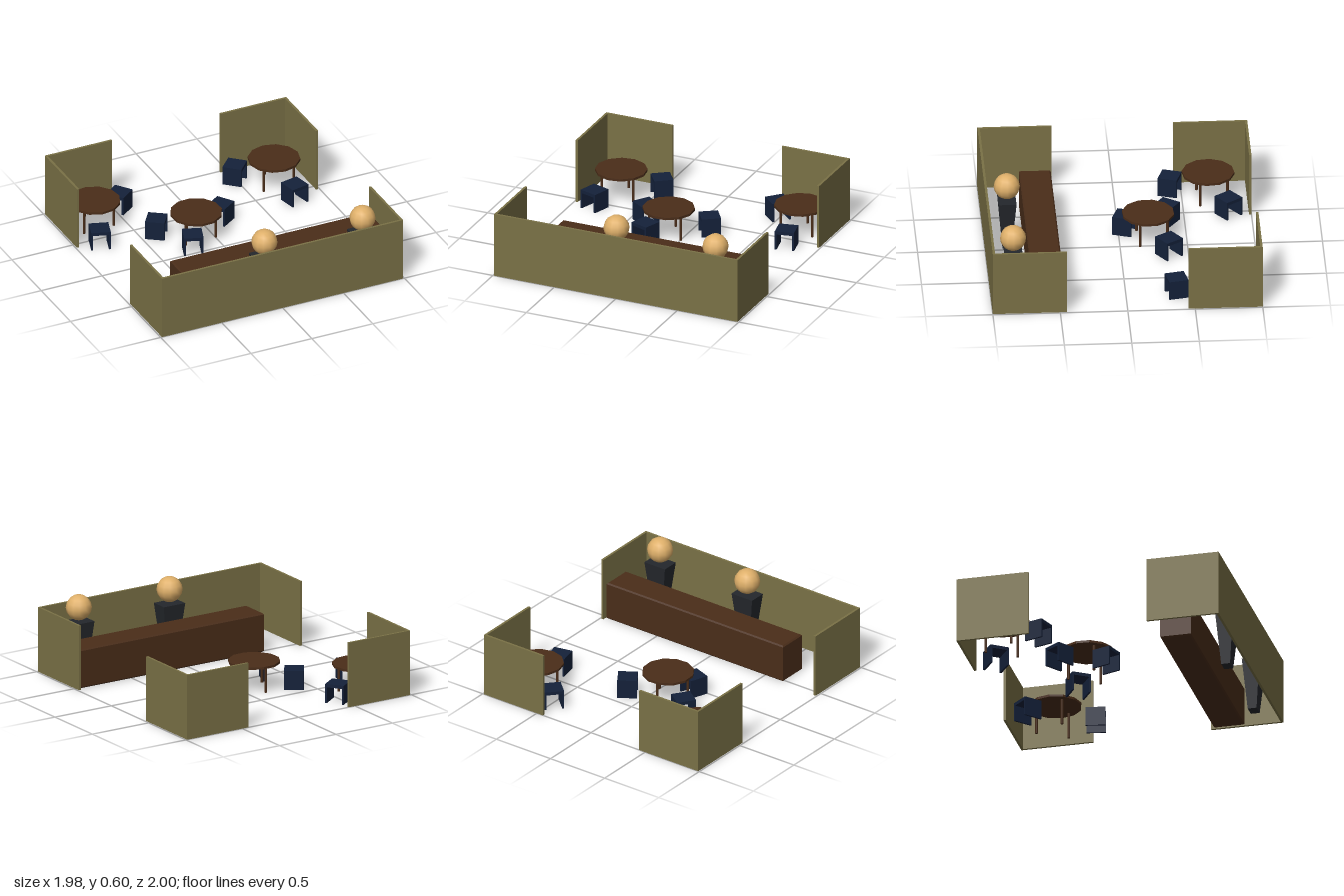
import * as THREE from 'three';

const mat = (color) => new THREE.MeshStandardMaterial({ color, flatShading: true });
const olive = mat(0x7a7146);
const wood = mat(0x4a2d19);
const navy = mat(0x14213a);
const charcoal = mat(0x24272c);
const skin = new THREE.MeshStandardMaterial({ color: 0xdfb06a });

function add(parent, name, geometry, material, x = 0, y = 0, z = 0) {
  const mesh = new THREE.Mesh(geometry, material);
  mesh.name = name;
  mesh.position.set(x, y, z);
  parent.add(mesh);
  return mesh;
}

// Box given by its x, y and z ranges
function span(parent, name, material, x0, x1, y0, y1, z0, z1) {
  const geometry = new THREE.BoxGeometry(x1 - x0, y1 - y0, z1 - z0);
  return add(parent, name, geometry, material, (x0 + x1) / 2, (y0 + y1) / 2, (z0 + z1) / 2);
}

// Round twelve-sided table on three legs
function createTable(x, z, turn) {
  const table = new THREE.Group();
  table.name = 'table';
  table.position.set(x, 0, z);
  const top = add(table, 'tableTop', new THREE.CylinderGeometry(0.195, 0.195, 0.018, 12), wood, 0, 0.208, 0);
  top.rotation.y = turn;
  const legGeometry = new THREE.CylinderGeometry(0.01, 0.01, 0.2, 8);
  for (let i = 0; i < 3; i++) {
    const a = Math.PI + 0.05 + (i * Math.PI * 2) / 3;
    add(table, 'tableLeg', legGeometry, wood, 0.145 * Math.sin(a), 0.1, 0.145 * Math.cos(a));
  }
  return table;
}

// Stool with a slab seat on two side panels, open along (dx, dz)
function createStool(x, z, dx, dz) {
  const stool = new THREE.Group();
  stool.name = 'stool';
  stool.position.set(x, 0, z);
  stool.rotation.y = Math.atan2(dx, dz);
  const h = 0.073;
  span(stool, 'seat', navy, -h, h, 0.122, 0.147, -h, h);
  for (const s of [-1, 1]) {
    add(stool, 'sidePanel', new THREE.BoxGeometry(0.014, 0.122, 2 * h), navy, s * (h - 0.007), 0.061, 0);
  }
  return stool;
}

// Simple figure: tapered body and round head
function createFigure(x, z) {
  const figure = new THREE.Group();
  figure.name = 'figure';
  figure.position.set(x, 0, z);
  const r = Math.SQRT1_2;
  const bodyGeometry = new THREE.CylinderGeometry(r, r * 0.5, 0.39, 4);
  bodyGeometry.rotateY(Math.PI / 4).scale(0.19, 1, 0.135);
  add(figure, 'body', bodyGeometry, charcoal, 0, 0.195, 0);
  add(figure, 'head', new THREE.SphereGeometry(0.0975, 12, 8), skin, 0, 0.498, 0);
  return figure;
}

// Long counter with chamfered edges
function createCounter() {
  const b = 0.01;
  const [x0, x1, z0, z1] = [-0.67 + b, 0.96 - b, 0.475 + b, 0.71 - b];
  const shape = new THREE.Shape();
  shape.moveTo(x0, -z0).lineTo(x0, -z1).lineTo(x1, -z1).lineTo(x1, -z0).closePath();
  const geometry = new THREE.ExtrudeGeometry(shape, {
    depth: 0.3 - 2 * b, bevelEnabled: true, bevelSize: b, bevelThickness: b, bevelSegments: 1,
  });
  geometry.rotateX(-Math.PI / 2).translate(0, b, 0);
  const counter = new THREE.Mesh(geometry, wood);
  counter.name = 'counter';
  return counter;
}

export function createModel() {
  const model = new THREE.Group();
  model.name = 'diningRoom';

  // Walls: long front wall, then mirrored side and back pieces
  const t = 0.018, h = 0.5, w = 0.99;
  span(model, 'frontWall', olive, -w, w, 0, h, 1 - t, 1);
  for (const s of [-1, 1]) {
    const lo = s < 0 ? -w : w - t;
    span(model, 'frontSideWall', olive, lo, lo + t, 0, h, 0.45, 1 - t);
    span(model, 'backSideWall', olive, lo, lo + t, 0, h, -1 + t, -0.45);
    const inner = s * 0.445, outer = s * w;
    span(model, 'backWall', olive, Math.min(inner, outer), Math.max(inner, outer), 0, h, -1, -1 + t);
  }

  // Counter and the two figures behind it
  model.add(createCounter());
  for (const x of [-0.07, 0.735]) model.add(createFigure(x, 0.835));

  // Tables: x, z, turn of the top
  for (const p of [[-0.125, -0.215, -0.21], [-0.73, -0.695, -0.12], [0.735, -0.675, 0]]) {
    model.add(createTable(...p));
  }

  // Stools: x, z, then the open direction
  const stools = [
    [-0.38, -0.365, -0.82, -0.57], [0.145, -0.355, 0.83, -0.56], [-0.235, -0.045, -0.33, 0.94],
    [-0.46, -0.83, 0.81, -0.59], [-0.82, -0.415, -0.31, 0.95],
    [0.485, -0.825, -0.74, -0.68], [0.76, -0.375, 0.2, 0.98],
  ];
  for (const s of stools) model.add(createStool(...s));

  return model;
}
